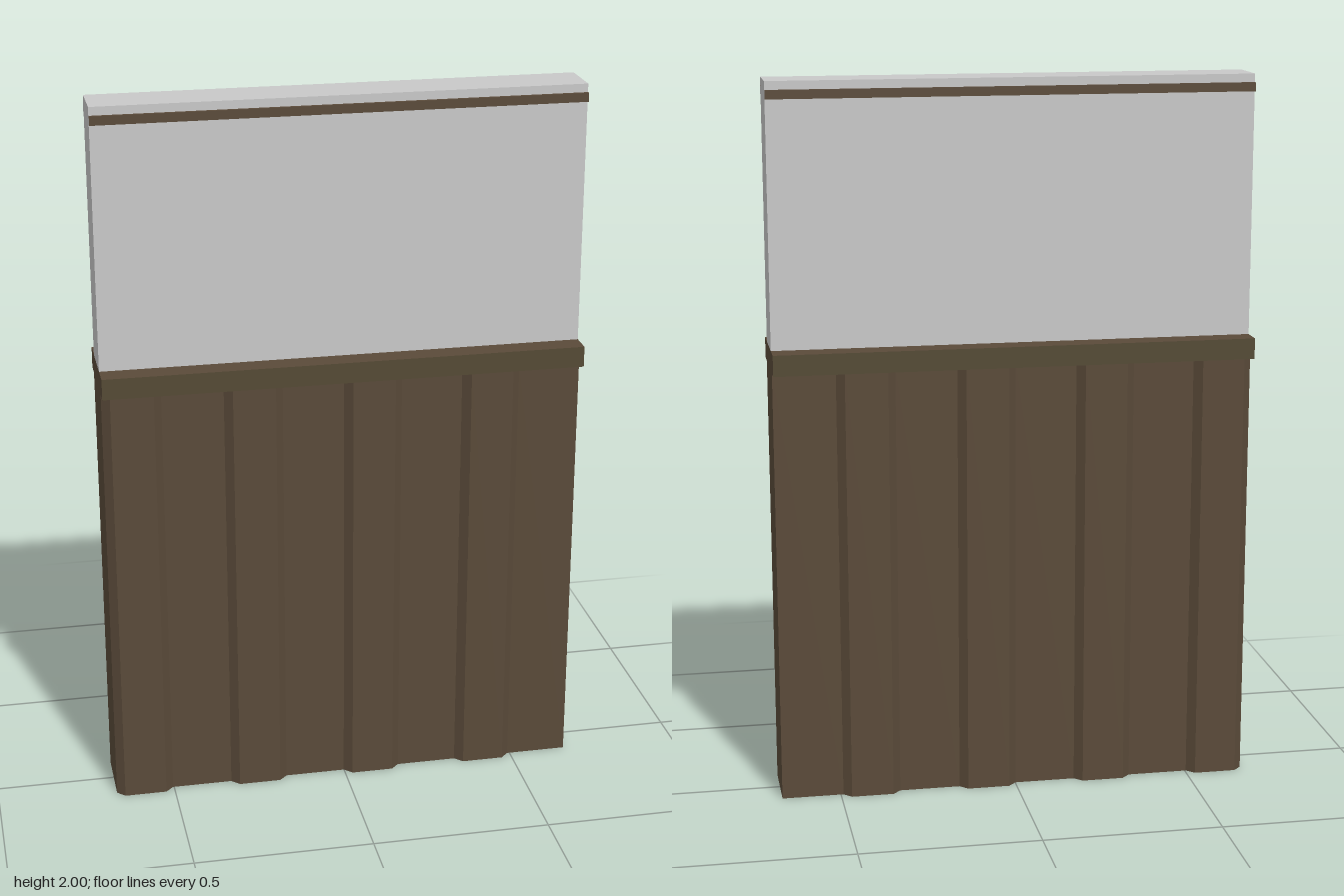
import * as THREE from 'three';

const mat = (name, color) => {
  const m = new THREE.MeshStandardMaterial({ color });
  m.name = name;
  return m;
};

export function createModel() {
  const brown = mat('brown sheet', 0x5a4a39);
  const olive = mat('olive brown trim', 0x544a34);
  const grey = mat('light grey panel', 0xc8c8c8);
  const group = new THREE.Group();
  group.name = 'fencePanel';

  const HALF = 0.665, LOW = 0.088, HIGH = 0.11, PITCH = 0.332;

  const box = (name, w, y0, y1, z0, z1, material) => {
    const mesh = new THREE.Mesh(new THREE.BoxGeometry(w, y1 - y0, z1 - z0), material);
    mesh.position.set(0, (y0 + y1) / 2, (z0 + z1) / 2);
    mesh.name = name;
    group.add(mesh);
  };

  // Corrugated base: the same trapezoid ribs on front and back
  const edge = [];
  for (let i = 0; i < 4; i++) {
    const x = -HALF + i * PITCH;
    edge.push([x, LOW], [x + 0.022, HIGH], [x + 0.14, HIGH], [x + 0.162, LOW]);
  }
  edge.push([HALF, LOW]);
  const outline = [
    ...edge.map(([x, z]) => new THREE.Vector2(x, z)),
    ...edge.slice().reverse().map(([x, z]) => new THREE.Vector2(x, -z)),
  ];
  const baseGeo = new THREE.ExtrudeGeometry(new THREE.Shape(outline), { depth: 1.225, bevelEnabled: false });
  baseGeo.rotateX(-Math.PI / 2);
  const base = new THREE.Mesh(baseGeo, brown);
  base.name = 'corrugatedBase';
  group.add(base);

  // Ledge covering the top of the base
  box('capRail', HALF * 2, 1.222, 1.28, -0.132, 0.132, [brown, brown, brown, brown, olive, olive]);

  // Smooth upper panel
  box('upperPanel', HALF * 2, 1.28, 2, -0.068, 0.068, grey);

  // Thin trim strip on each side near the top
  for (const [name, side] of [['frontTrim', 1], ['backTrim', -1]]) {
    const z = [0.068 * side, 0.078 * side].sort((a, b) => a - b);
    box(name, HALF * 2, 1.953, 1.977, z[0], z[1], [grey, grey, brown, brown, brown, brown]);
  }

  return group;
}
